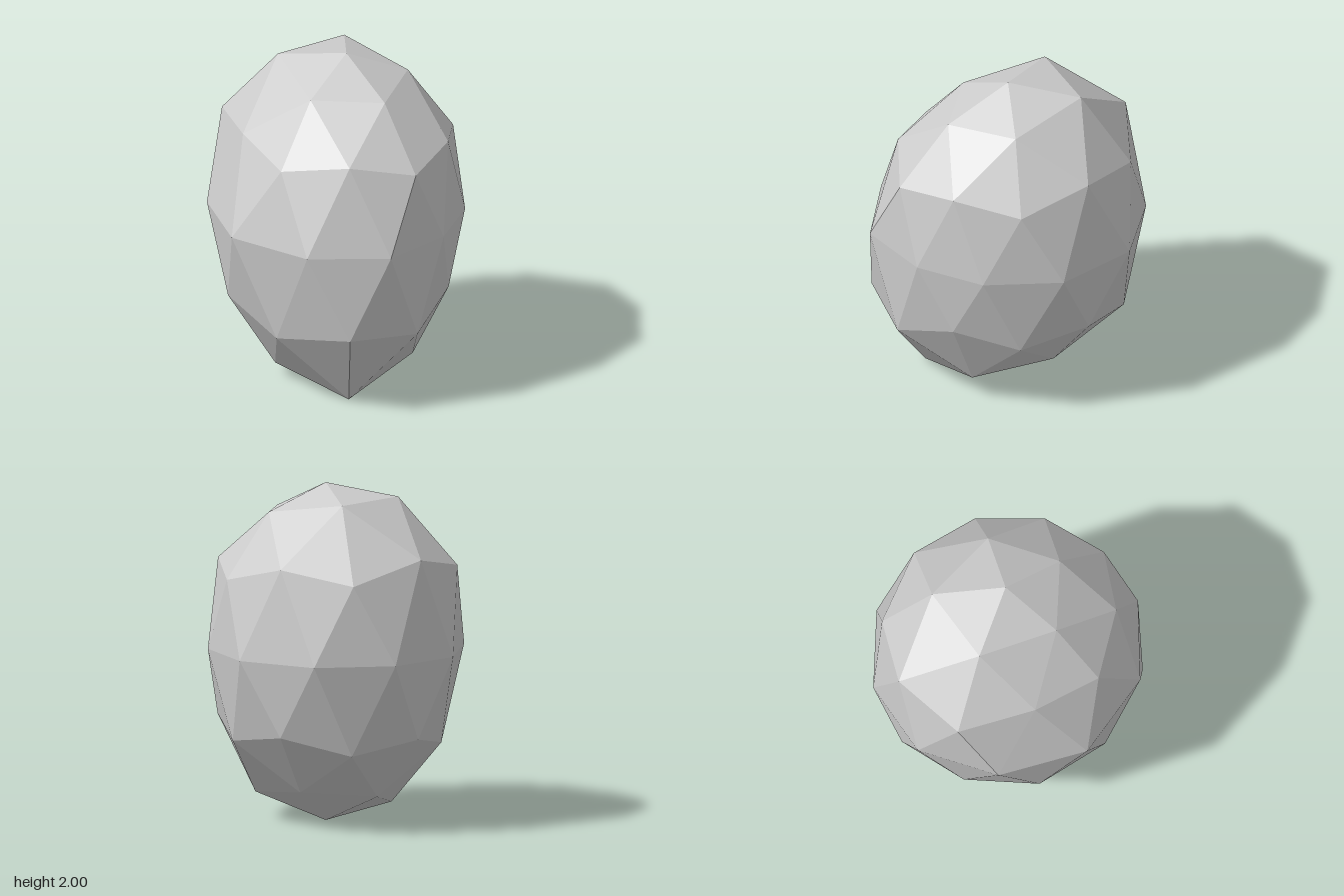
import * as THREE from 'three';

// Rings of a once-divided icosahedron: height, radius, first angle (degrees),
// and how far each point is pushed out from the centre.
const RINGS = {
  crown: [0.851, 0.526, 0, [0.674, 0.68, 0.765, 0.765, 0.7]],
  upper: [0.447, 0.894, 0, [0.718, 0.73, 0.818, 0.757, 0.715]],
  upperMid: [0.526, 0.851, 36, [0.712, 0.728, 0.82, 0.755, 0.703]],
  belt: [0, 1, 18, [0.75, 0.788, 0.817, 0.787, 0.765, 0.75, 0.755, 0.728, 0.67, 0.665]],
  lower: [-0.447, 0.894, 36, [0.84, 0.793, 0.758, 0.723, 0.672]],
  lowerMid: [-0.526, 0.851, 72, [0.82, 0.755, 0.75, 0.707, 0.771]],
  base: [-0.851, 0.526, 36, [0.87, 0.81, 0.718, 0.69, 0.742]],
};
const CENTRE = new THREE.Vector3(0.01, 1.03, -0.047);
const STRETCH = new THREE.Vector3(1.1, 1.38, 1);

function place(x, y, z, push) {
  return new THREE.Vector3(x, y, z).multiplyScalar(push).multiply(STRETCH).add(CENTRE);
}

function ring([height, radius, start, pushes]) {
  return pushes.map((push, i) => {
    const a = THREE.MathUtils.degToRad(start + (360 / pushes.length) * i);
    return place(radius * Math.cos(a), height, radius * Math.sin(a), push);
  });
}

function rockGeometry() {
  const { crown, upper, upperMid, belt, lower, lowerMid, base } =
    Object.fromEntries(Object.entries(RINGS).map(([name, r]) => [name, ring(r)]));
  const top = place(0, 1, 0, 0.703);
  const bottom = place(0, -1, 0, 0.745);

  // One large face split in four by its edge midpoints
  const points = [];
  const face = (a, b, c, ab, bc, ca) =>
    points.push(a, ab, ca, ab, b, bc, ca, bc, c, ab, bc, ca);

  for (let k = 0; k < 5; k++) {
    const n = (k + 1) % 5;
    const e0 = belt[2 * k], e1 = belt[2 * k + 1], e2 = belt[2 * n];
    face(top, upper[n], upper[k], crown[n], upperMid[k], crown[k]);
    face(upper[k], upper[n], lower[k], upperMid[k], e1, e0);
    face(upper[n], lower[n], lower[k], e2, lowerMid[k], e1);
    face(lower[k], lower[n], bottom, lowerMid[k], base[n], base[k]);
  }
  const geometry = new THREE.BufferGeometry().setFromPoints(points);
  geometry.computeVertexNormals();
  return geometry;
}

export function createModel() {
  const stone = new THREE.MeshStandardMaterial({ color: 0xcccccc });
  stone.name = 'stone grey';
  stone.flatShading = true;

  const rock = new THREE.Mesh(rockGeometry(), stone);
  rock.name = 'rock';

  const model = new THREE.Group();
  model.name = 'boulder';
  model.add(rock);
  return model;
}
